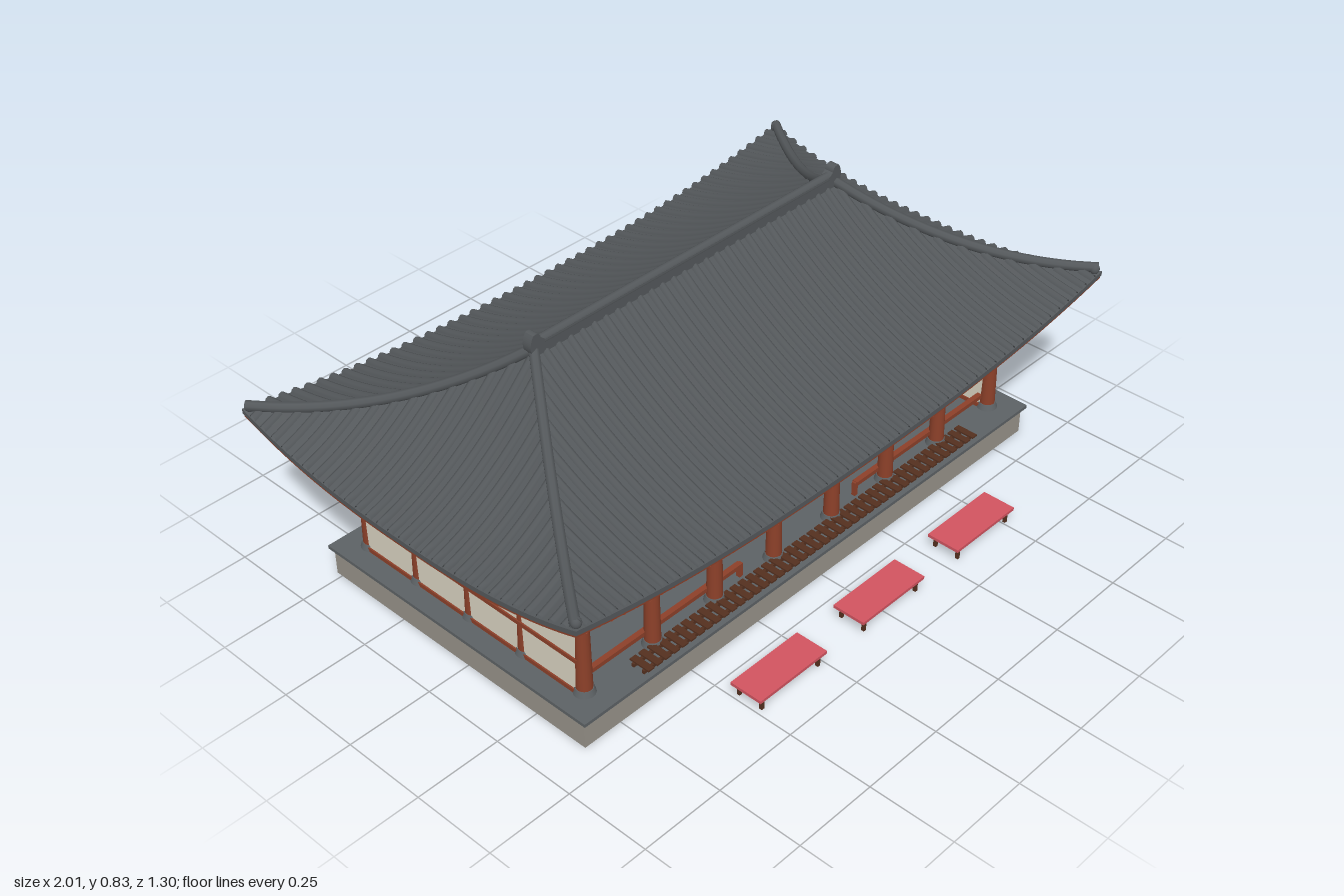
import * as THREE from 'three';
import { mergeGeometries } from 'three/addons/utils/BufferGeometryUtils.js';

const mat = (name, color, double) => {
  const m = new THREE.MeshStandardMaterial({ color });
  m.name = name;
  if (double) m.side = THREE.DoubleSide;
  return m;
};

export function createModel() {
  const tile = mat('roof tile grey', 0x54585b, true);
  const wood = mat('vermilion wood', 0x8c4029, true);
  const darkWood = mat('dark wood', 0x54301f);
  const plaster = mat('cream plaster', 0xd9d3c1);
  const stone = mat('stone', 0x98938a);
  const paving = mat('paving', 0x5d6265);
  const gold = mat('gold', 0xc79a42);
  const blue = mat('blue', 0x3d56a0);
  const bronze = mat('bronze', 0x5f4d30);
  const red = mat('bench red', 0xd25460);

  const model = new THREE.Group();
  model.name = 'templeHall';
  const group = (name, parent = model) => {
    const g = new THREE.Group();
    g.name = name;
    parent.add(g);
    return g;
  };
  const add = (name, geo, m, parent, x = 0, y = 0, z = 0) => {
    const mesh = new THREE.Mesh(geo, m);
    mesh.name = name;
    mesh.position.set(x, y, z);
    parent.add(mesh);
    return mesh;
  };
  const box = (name, m, parent, w, h, d, x, y, z) =>
    add(name, new THREE.BoxGeometry(w, h, d), m, parent, x, y, z);
  // Surface from a rule fn(u, v) -> [x, y, z]
  const grid = (fn, nu, nv) => {
    const pos = [], idx = [];
    for (let j = 0; j <= nv; j++)
      for (let i = 0; i <= nu; i++) {
        pos.push(...fn(i / nu, j / nv));
        if (i < nu && j < nv) {
          const a = j * (nu + 1) + i, b = a + nu + 1;
          idx.push(a, b, a + 1, b, b + 1, a + 1);
        }
      }
    const g = new THREE.BufferGeometry();
    g.setAttribute('position', new THREE.Float32BufferAttribute(pos, 3));
    g.setIndex(idx);
    g.computeVertexNormals();
    return g;
  };

  // Stone base
  const base = group('base');
  box('plinth', stone, base, 1.74, 0.082, 0.94, 0, 0.041, -0.05);
  box('floorSlab', paving, base, 1.76, 0.01, 0.965, 0, 0.087, -0.05);

  // Walls
  const walls = group('walls');
  box('backWall', plaster, walls, 1.6, 0.41, 0.036, 0, 0.297, -0.45);
  box('frontUpperWall', plaster, walls, 1.6, 0.09, 0.02, 0, 0.457, 0.35);
  for (const s of [-1, 1]) {
    box('sideWall', plaster, walls, 0.036, 0.42, 0.8, s * 0.8, 0.302, -0.05);
    for (const [y, h] of [[0.42, 0.013], [0.37, 0.014], [0.2, 0.012], [0.098, 0.012]])
      box('sideBeam', wood, walls, 0.045, h, 0.8, s * 0.8, y, -0.05);
  }

  // Columns with footing stones
  const columns = group('columns');
  const shaft = new THREE.CylinderGeometry(0.0165, 0.022, 0.32, 16);
  const footing = new THREE.CylinderGeometry(0.024, 0.03, 0.018, 16);
  const column = (x, z) => {
    add('footing', footing, paving, columns, x, 0.1, z);
    add('column', shaft, wood, columns, x, 0.265, z);
  };
  // Stepped bracket, arms reaching out along +z before turning
  const bracket = (x, z, turn, reach = 0.07) => {
    const b = group('bracket', columns);
    b.position.set(x, 0, z);
    b.rotation.y = turn;
    box('bearingBlock', wood, b, 0.042, 0.02, 0.042, 0, 0.418, 0);
    box('lowerArm', wood, b, 0.018, 0.014, reach * 0.65 + 0.03, 0, 0.425, reach * 0.325 - 0.015);
    box('upperArm', wood, b, 0.018, 0.014, reach + 0.03, 0, 0.447, reach / 2 - 0.015);
    box('crossArm', wood, b, 0.075, 0.014, 0.018, 0, 0.44, 0.012);
    box('outerCrossArm', wood, b, 0.06, 0.012, 0.016, 0, 0.46, reach * 0.6);
    box('topBlock', wood, b, 0.05, 0.035, 0.04, 0, 0.472, 0);
  };
  for (const x of [0.115, 0.34, 0.565, 0.8])
    for (const s of [-1, 1]) {
      column(s * x, 0.35);
      column(s * x, -0.45);
      bracket(s * x, 0.35, 0);
      bracket(s * x, -0.45, Math.PI);
    }
  for (const s of [-1, 1]) {
    for (const z of [0.145, -0.05, -0.25]) column(s * 0.8, z);
    for (const z of [0.35, -0.45]) bracket(s * 0.8, z, s * Math.PI / 2, 0.045);
  }

  // Front beams and rails
  const front = group('frontBeams');
  box('lintel', wood, front, 1.66, 0.02, 0.028, 0, 0.397, 0.35);
  for (const s of [-1, 1]) {
    box('endTie', wood, front, 0.235, 0.012, 0.02, s * 0.683, 0.352, 0.33);
    box('lowRail', wood, front, 0.56, 0.013, 0.016, s * 0.51, 0.13, 0.335);
    box('railPost', wood, front, 0.012, 0.045, 0.012, s * 0.23, 0.112, 0.335);
  }

  // Slatted walkway in front of the columns
  const walkway = group('walkway');
  for (const z of [0.375, 0.41])
    box('walkwayRunner', darkWood, walkway, 1.32, 0.01, 0.008, 0, 0.097, z);
  for (let i = 0; i < 44; i++)
    box('walkwaySlat', darkWood, walkway, 0.02, 0.005, 0.065, -0.645 + i * 0.03, 0.104, 0.392);

  // Altar platform
  const altar = group('altar');
  box('altarTop', wood, altar, 1.4, 0.014, 0.53, 0, 0.17, -0.165);
  for (let i = 0; i < 7; i++)
    box('altarLeg', wood, altar, 0.015, 0.075, 0.4, -0.66 + i * 0.22, 0.128, -0.2);

  // Statues
  const ball = new THREE.SphereGeometry(1, 18, 12);
  const lathe = pts => new THREE.LatheGeometry(pts.map(p => new THREE.Vector2(...p)), 20);
  const pedestal = lathe([[0, 0], [0.075, 0], [0.075, 0.01], [0.045, 0.02], [0.045, 0.03], [0.08, 0.055], [0.07, 0.06], [0, 0.06]]);
  const torso = lathe([[0, 0.05], [0.05, 0.06], [0.04, 0.09], [0.046, 0.125], [0.035, 0.145], [0.014, 0.152], [0, 0.153]]);
  const robe = lathe([[0, 0], [0.04, 0], [0.04, 0.012], [0.024, 0.02], [0.03, 0.035], [0.02, 0.08], [0.027, 0.12], [0.022, 0.14], [0, 0.15]]);
  const halo = new THREE.CylinderGeometry(1, 1, 0.008, 32).rotateX(Math.PI / 2);
  const rim = new THREE.TorusGeometry(1, 0.06, 6, 32);
  const blob = (name, m, g, sx, sy, sz, x, y, z) => add(name, ball, m, g, x, y, z).scale.set(sx, sy, sz);
  const statue = (name, x, z, size) => {
    const g = group(name, altar);
    g.position.set(x, 0.177, z);
    g.scale.setScalar(size);
    return g;
  };
  const seated = (x, size, m) => {
    const g = statue('seatedStatue', x, -0.2, size);
    add('pedestal', pedestal, m, g);
    add('torso', torso, m, g).scale.z = 0.75;
    blob('lap', m, g, 0.068, 0.018, 0.045, 0, 0.073, 0.015);
    for (const s of [-1, 1]) blob('arm', m, g, 0.014, 0.035, 0.018, s * 0.047, 0.11, 0.012);
    blob('head', m, g, 0.021, 0.025, 0.021, 0, 0.173, 0.005);
    blob('topknot', m, g, 0.011, 0.011, 0.011, 0, 0.2, 0.003);
    add('halo', halo, m, g, 0, 0.135, -0.05).scale.set(0.088, 0.085, 1);
    add('haloRim', rim, m, g, 0, 0.135, -0.045).scale.set(0.085, 0.082, 0.085);
    add('headHalo', rim, m, g, 0, 0.165, -0.042).scale.set(0.042, 0.042, 0.06);
  };
  const standing = (x, size, m, haloMat, z = -0.1) => {
    const g = statue('standingStatue', x, z, size);
    add('robe', robe, m, g);
    for (const s of [-1, 1]) blob('arm', m, g, 0.009, 0.035, 0.012, s * 0.03, 0.1, 0.008);
    blob('head', m, g, 0.015, 0.018, 0.015, 0, 0.162, 0.002);
    add('halo', halo, haloMat, g, 0, 0.15, -0.025).scale.set(0.034, 0.038, 1);
  };
  seated(0, 1.02, gold);
  for (const s of [-1, 1]) {
    seated(s * 0.345, 1.0, gold);
    standing(s * 0.155, 1.0, gold, gold);
    standing(s * 0.26, 1.05, s < 0 ? blue : gold, gold);
    standing(s * 0.425, 1.05, s < 0 ? blue : gold, gold);
    seated(s * 0.6, 0.95, bronze);
  }
  standing(0.575, 0.7, blue, bronze);

  // Hipped roof: t runs from ridge (0) to eave (1), s across the slope (-1..1)
  const roof = group('roof');
  roof.position.z = -0.05;
  const height = (t, s) => 0.78 - 0.5 * t + 0.185 * t * t + 0.085 * t ** 1.8 * Math.abs(s) ** 2.5;
  const wide = t => 0.55 + 0.45 * t, deep = t => 0.6 * t;
  const slope = (name, along, out, turns) => {
    const at = (t, s, drop) => [s * along(t), height(t, s) - drop, out(t)];
    const surface = grid((u, v) => at(v, u * 2 - 1, 0.008), 40, 16);
    const soffit = grid((u, v) => at(v * 0.995, u * 2 - 1, 0.028), 40, 16);
    const edge = grid((u, v) => at(1, u * 2 - 1, 0.008 + v * 0.014), 40, 1);
    const fascia = grid((u, v) => at(0.995, u * 2 - 1, 0.02 + v * 0.01), 40, 1);
    // Round tile rows, and rafters hanging below the eave
    const rows = [], rafters = [];
    const n = Math.floor((along(1) - 0.02) / 0.04);
    const strip = (c, t0, t1, w, h, drop) => grid((u, v) => {
      const t = t0 + (t1 - t0) * v, a = Math.PI * (1 - u);
      const s = Math.min(1, Math.abs(c) / Math.max(along(t), 1e-4));
      return [c + w * Math.cos(a), height(t, s) - drop + h * Math.sin(a), out(t)];
    }, 4, 12);
    for (let i = -n; i <= n; i++) {
      const c = i * 0.04;
      const span = along(1) - along(0);
      const t0 = Math.max(0.01, (Math.abs(c) + 0.006 - along(0)) / span);
      rows.push(strip(c, t0, 1, 0.011, 0.013, 0.008));
      rafters.push(strip(c, Math.max(t0, 0.75), 0.985, 0.008, -0.012, 0.028));
    }
    for (const k of turns) {
      const g = group(name, roof);
      g.rotation.y = k * Math.PI / 2;
      add('tileBed', surface, tile, g);
      add('soffit', soffit, tile, g);
      add('eaveEdge', edge, tile, g);
      add('fascia', fascia, wood, g);
      add('tileRows', mergeGeometries(rows), tile, g);
      if (k % 2 === 0) add('rafters', mergeGeometries(rafters), wood, g);
    }
  };
  slope('longSlope', wide, deep, [0, 2]);
  slope('endSlope', deep, wide, [1, 3]);

  // Hip ridges, main ridge and its end ornaments
  const horn = new THREE.Shape();
  horn.moveTo(-0.025, 0);
  horn.lineTo(0.015, 0);
  horn.quadraticCurveTo(0.03, 0.025, 0.012, 0.055);
  horn.quadraticCurveTo(-0.01, 0.06, -0.012, 0.04);
  horn.lineTo(-0.025, 0.03);
  const hornGeo = new THREE.ExtrudeGeometry(horn, { depth: 0.028, bevelEnabled: false }).translate(0, 0, -0.014);
  for (const sx of [-1, 1]) {
    for (const sz of [-1, 1]) {
      const pts = [];
      for (let i = 0; i <= 10; i++) {
        const t = i * 0.0985;
        pts.push(new THREE.Vector3(sx * wide(t), height(t, 1) + 0.004, sz * deep(t)));
      }
      add('hipRidge', new THREE.TubeGeometry(new THREE.CatmullRomCurve3(pts), 24, 0.014, 8), tile, roof);
      blob('hipEnd', tile, roof, 0.014, 0.016, 0.014, sx * 0.985, 0.55, sz * 0.585);
    }
    const h = add('ridgeOrnament', hornGeo, tile, roof, sx * 0.55, 0.775, 0);
    h.rotation.y = sx < 0 ? Math.PI : 0;
  }
  box('mainRidge', tile, roof, 1.1, 0.036, 0.026, 0, 0.785, 0);
  const cap = add('ridgeCap', new THREE.CylinderGeometry(0.014, 0.014, 1.1, 10), tile, roof, 0, 0.798, 0);
  cap.rotation.z = Math.PI / 2;

  // Benches
  for (const x of [-0.375, 0.015, 0.405]) {
    const b = group('bench');
    b.position.set(x, 0, 0.602);
    box('benchSeat', red, b, 0.248, 0.009, 0.1, 0, 0.04, 0);
    for (const sx of [-1, 1])
      for (const sz of [-1, 1])
        box('benchLeg', darkWood, b, 0.009, 0.036, 0.009, sx * 0.105, 0.018, sz * 0.037);
    for (const sz of [-1, 1])
      box('benchApron', darkWood, b, 0.21, 0.008, 0.006, 0, 0.032, sz * 0.037);
  }
  return model;
}
